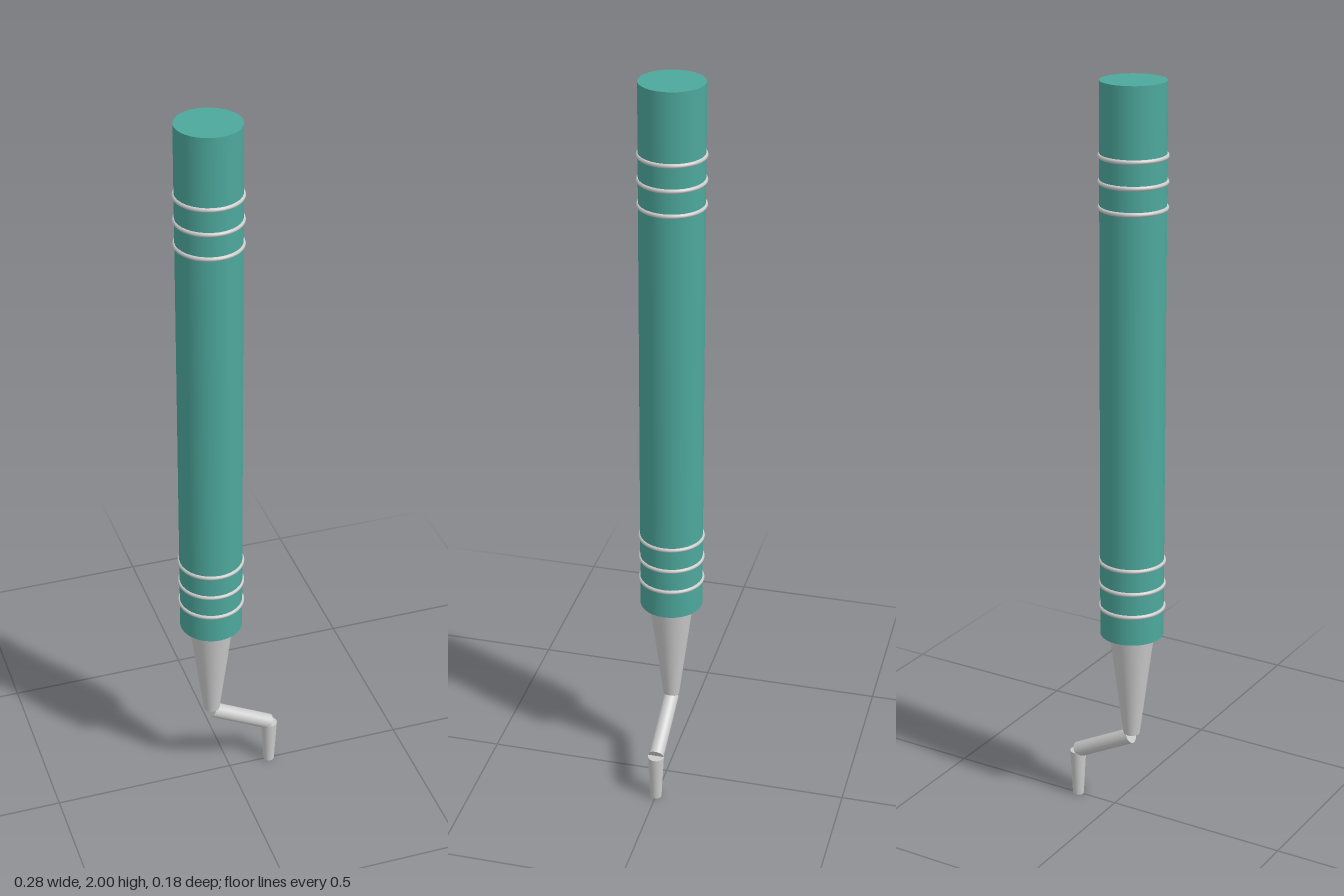
import * as THREE from 'three';

const AXIS_X = -0.053;
const SIDES = 32;

export function createModel() {
  const model = new THREE.Group();
  const teal = new THREE.MeshStandardMaterial({ color: 0x4da89c });
  const steel = new THREE.MeshStandardMaterial({ color: 0xcccccc });

  function add(name, geometry, material) {
    const mesh = new THREE.Mesh(geometry, material);
    mesh.name = name;
    model.add(mesh);
    return mesh;
  }

  // Round, optionally tapered rod between two points
  function rod(name, from, to, rFrom, rTo, material) {
    const a = new THREE.Vector3(...from), b = new THREE.Vector3(...to);
    const dir = b.clone().sub(a);
    const mesh = add(name, new THREE.CylinderGeometry(rTo, rFrom, dir.length(), SIDES), material);
    mesh.position.copy(a).add(b).multiplyScalar(0.5);
    mesh.quaternion.setFromUnitVectors(new THREE.Vector3(0, 1, 0), dir.normalize());
  }

  // Handle and the cone that narrows towards the tip
  rod('handle', [AXIS_X, 0.53, 0], [AXIS_X, 2, 0], 0.084, 0.084, teal);
  rod('neck', [AXIS_X, 0.232, 0], [AXIS_X, 0.53, 0], 0.022, 0.06, steel);

  // Grip rings in two sets of three
  for (const [name, base] of [['lowerRing', 0.61], ['upperRing', 1.685]]) {
    for (let i = 0; i < 3; i++) {
      const ring = add(name + (i + 1), new THREE.TorusGeometry(0.083, 0.006, 10, 48), steel);
      ring.rotation.x = Math.PI / 2;
      ring.position.set(AXIS_X, base + i * 0.065, 0);
    }
  }

  // Angled arm and the short tapered working tip
  rod('arm', [-0.051, 0.222, 0], [0.116, 0.135, 0], 0.021, 0.021, steel);
  rod('tip', [0.117, 0, 0], [0.117, 0.132, 0], 0.015, 0.022, steel);

  return model;
}
